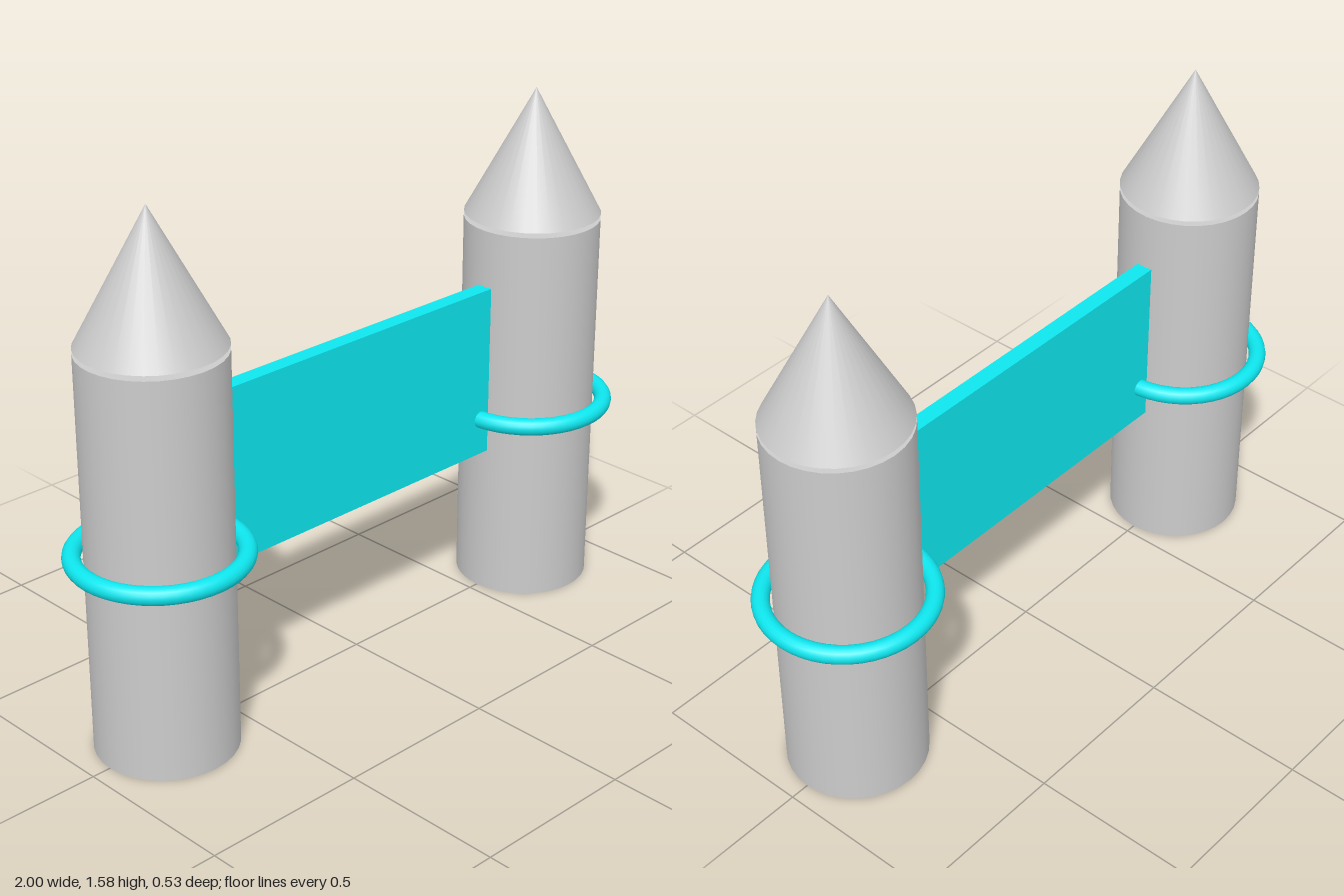
import * as THREE from 'three';

const grey = new THREE.MeshStandardMaterial({ color: 0xcccccc });
const cyan = new THREE.MeshStandardMaterial({ color: 0x0ee6ee });

function part(name, geometry, material, y) {
  const mesh = new THREE.Mesh(geometry, material);
  mesh.name = name;
  mesh.position.y = y;
  return mesh;
}

// Round shaft with a floating pointed roof and a ring around it
function createTower(name, x) {
  const radius = 0.205, shaftHeight = 1.18, roofBase = 1.195, roofHeight = 0.38;
  const tower = new THREE.Group();
  tower.name = name;
  tower.position.x = x;
  tower.add(part('shaft', new THREE.CylinderGeometry(radius, radius, shaftHeight, 32), grey, shaftHeight / 2));
  tower.add(part('roof', new THREE.ConeGeometry(radius, roofHeight, 32), grey, roofBase + roofHeight / 2));
  const ring = new THREE.TorusGeometry(0.237, 0.026, 16, 48).rotateX(Math.PI / 2);
  tower.add(part('ring', ring, cyan, 0.59));
  return tower;
}

export function createModel() {
  const model = new THREE.Group();
  model.name = 'twinTowers';
  model.add(createTower('leftTower', 0.737), createTower('rightTower', -0.737));
  // Thin wall joining the towers
  model.add(part('wall', new THREE.BoxGeometry(1.072, 0.53, 0.05), cyan, 0.74));
  return model;
}
